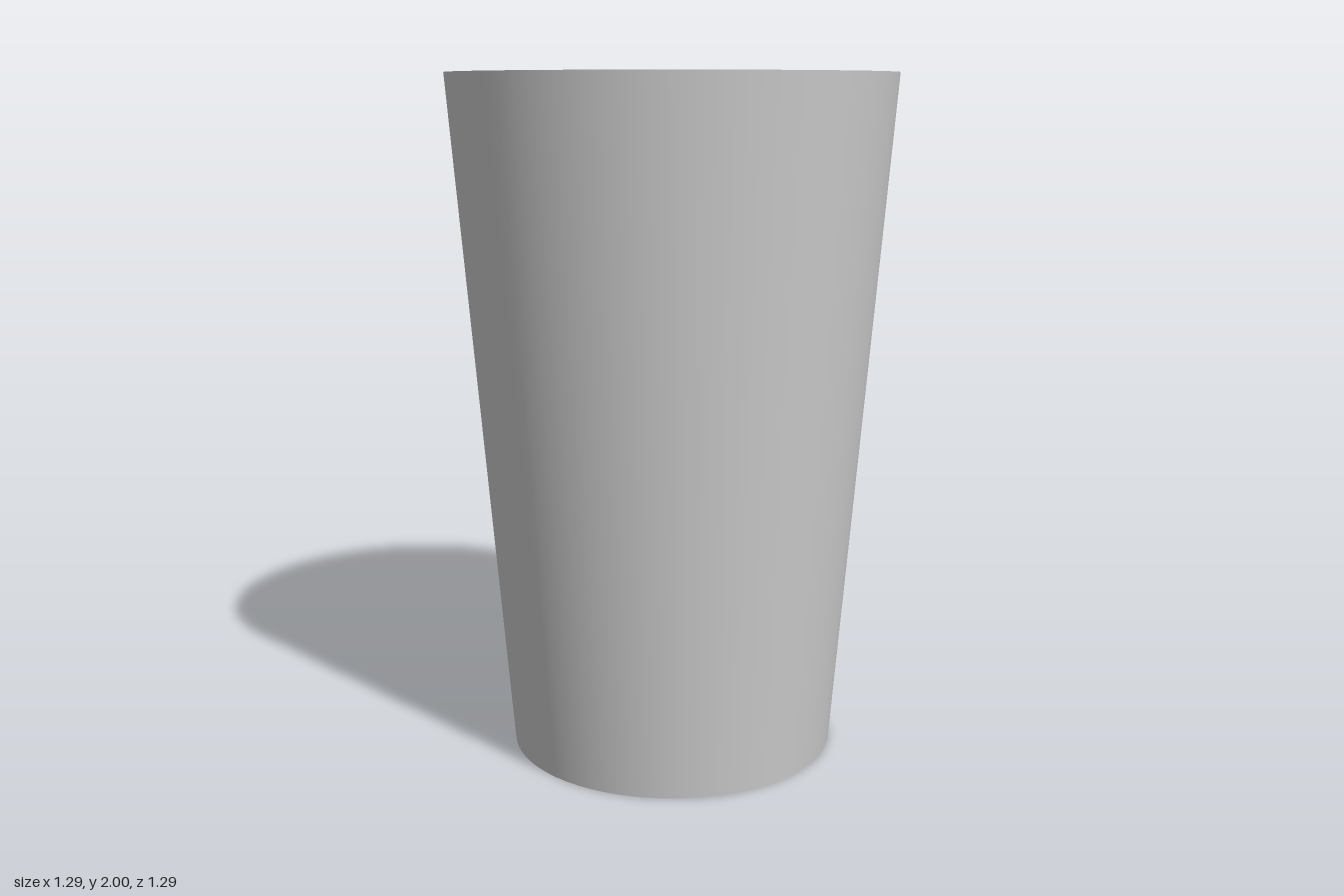
import * as THREE from 'three';
import { toCreasedNormals } from 'three/addons/utils/BufferGeometryUtils.js';

const SIDES = 64;

// Closed surface of revolution with crisp rims, from [radius, height] pairs
function turned(name, profile, material) {
  const points = profile.map(([r, y]) => new THREE.Vector2(r, y));
  const geometry = toCreasedNormals(new THREE.LatheGeometry(points, SIDES), 0.6);
  const mesh = new THREE.Mesh(geometry, material);
  mesh.name = name;
  return mesh;
}

export function createModel() {
  const group = new THREE.Group();
  group.name = 'filledCup';

  const cupGrey = new THREE.MeshStandardMaterial({ color: 0xcccccc });
  cupGrey.name = 'cup grey';
  const drinkAmber = new THREE.MeshStandardMaterial({ color: 0xd48a0c });
  drinkAmber.name = 'drink amber';

  // Tapered cup: base, outer wall, flat rim, inner wall, inner floor
  group.add(turned('cup', [
    [0, 0], [0.485, 0], [0.646, 2], [0.56, 2], [0.41, 0.1], [0, 0.1],
  ], cupGrey));

  // Drink filled level with the rim, a narrow gap inside the wall, softened top edge
  group.add(turned('drink', [
    [0, 0.12], [0.39, 0.12], [0.53, 1.98], [0.526, 1.992], [0.515, 1.999], [0, 1.999],
  ], drinkAmber));

  return group;
}
